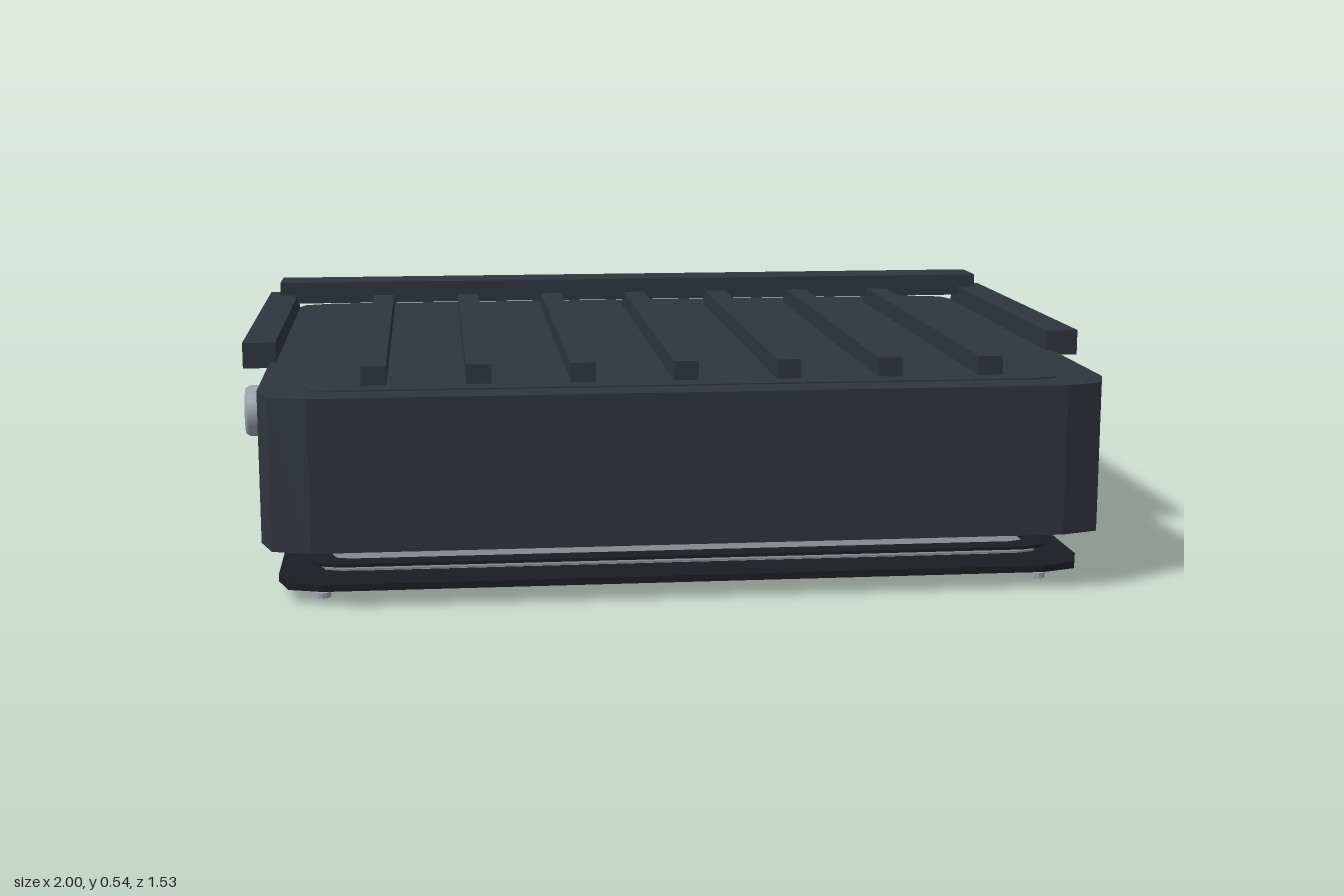
import * as THREE from 'three';

const mat = (color) => new THREE.MeshStandardMaterial({ color, flatShading: true });
const housing = mat(0x2f353d), black = mat(0x1a1d21), metal = mat(0x9aa4ae), pane = mat(0x84898c);

// rectangle with corners rounded by quadratic curves
function outline(target, hx, hz, r) {
  target.moveTo(-hx + r, -hz);
  target.lineTo(hx - r, -hz);
  target.quadraticCurveTo(hx, -hz, hx, -hz + r);
  target.lineTo(hx, hz - r);
  target.quadraticCurveTo(hx, hz, hx - r, hz);
  target.lineTo(-hx + r, hz);
  target.quadraticCurveTo(-hx, hz, -hx, hz - r);
  target.lineTo(-hx, -hz + r);
  target.quadraticCurveTo(-hx, -hz, -hx + r, -hz);
  return target;
}

export function createModel() {
  const model = new THREE.Group();

  function add(name, geometry, material, x = 0, y = 0, z = 0) {
    const mesh = new THREE.Mesh(geometry, material);
    mesh.name = name;
    mesh.position.set(x, y, z);
    model.add(mesh);
    return mesh;
  }

  // box given by its centre in x and its y and z ranges
  const bar = (name, x, width, y0, y1, z0, z1) =>
    add(name, new THREE.BoxGeometry(width, y1 - y0, z1 - z0), housing, x, (y0 + y1) / 2, (z0 + z1) / 2);

  // horizontal rounded plate, or a frame when a rim width is given
  function plate(name, material, hx, hz, r, y0, y1, { rim = 0, z = 0, segments = 2 } = {}) {
    const shape = outline(new THREE.Shape(), hx, hz, r);
    if (rim) shape.holes.push(outline(new THREE.Path(), hx - rim, hz - rim, r * 0.6));
    const geometry = new THREE.ExtrudeGeometry(shape, { depth: y1 - y0, bevelEnabled: false, curveSegments: segments });
    geometry.rotateX(-Math.PI / 2);
    return add(name, geometry, material, 0, y0, z);
  }

  // housing with its top panel
  plate('housing', housing, 0.92, 0.765, 0.11, 0.13, 0.46);
  plate('topPanel', housing, 0.83, 0.685, 0.07, 0.455, 0.463);

  // cooling fins
  for (let i = -3; i <= 3; i++) bar('coolingFin', i * 0.225, 0.054, 0.455, 0.505, -0.63, 0.63);

  // side rails and rear cross bar
  for (const s of [-1, 1]) bar('sideRail', s * 0.943, 0.075, 0.448, 0.507, -0.66, 0.275);
  bar('rearBar', 0, 1.9, 0.485, 0.541, -0.702, -0.58);

  // side pivots: metal sleeve around a dark core
  for (const s of [-1, 1]) {
    const sleeve = new THREE.LatheGeometry(
      [[0.04, 0.9], [0.062, 0.9], [0.062, 0.99], [0.056, 1], [0.043, 1], [0.043, 0.96]].map((p) => new THREE.Vector2(...p)), 24);
    const sleeveMaterial = metal.clone();
    sleeveMaterial.flatShading = false;
    sleeveMaterial.side = THREE.DoubleSide;
    add('pivotSleeve', sleeve, sleeveMaterial).position.y = 0.3;
    model.children.at(-1).rotation.z = -s * Math.PI / 2;
    const core = add('pivotCore', new THREE.CylinderGeometry(0.043, 0.043, 0.09, 24), black, s * 0.95, 0.3, 0);
    core.rotation.z = Math.PI / 2;
  }

  // layered underside: seal, gasket, pane with dark bands, frame
  plate('metalSeal', metal, 0.785, 0.62, 0.07, 0.122, 0.131, { rim: 0.03 });
  plate('gasket', black, 0.825, 0.653, 0.07, 0.07, 0.077, { rim: 0.05 });
  plate('upperBand', black, 0.77, 0.142, 0.07, 0.064, 0.069, { z: -0.51, segments: 6 });
  plate('pane', pane, 0.8, 0.635, 0.05, 0.058, 0.062);
  plate('lowerBand', black, 0.75, 0.128, 0.07, 0.049, 0.057, { z: -0.508, segments: 6 });
  plate('lowerFrame', black, 0.89, 0.702, 0.1, 0.03, 0.045, { rim: 0.115 });

  // corner screws
  for (const x of [-0.795, 0.795])
    for (const z of [-0.628, 0.628])
      add('screw', new THREE.CylinderGeometry(0.018, 0.018, 0.012, 12), metal, x, 0.006, z);

  return model;
}
